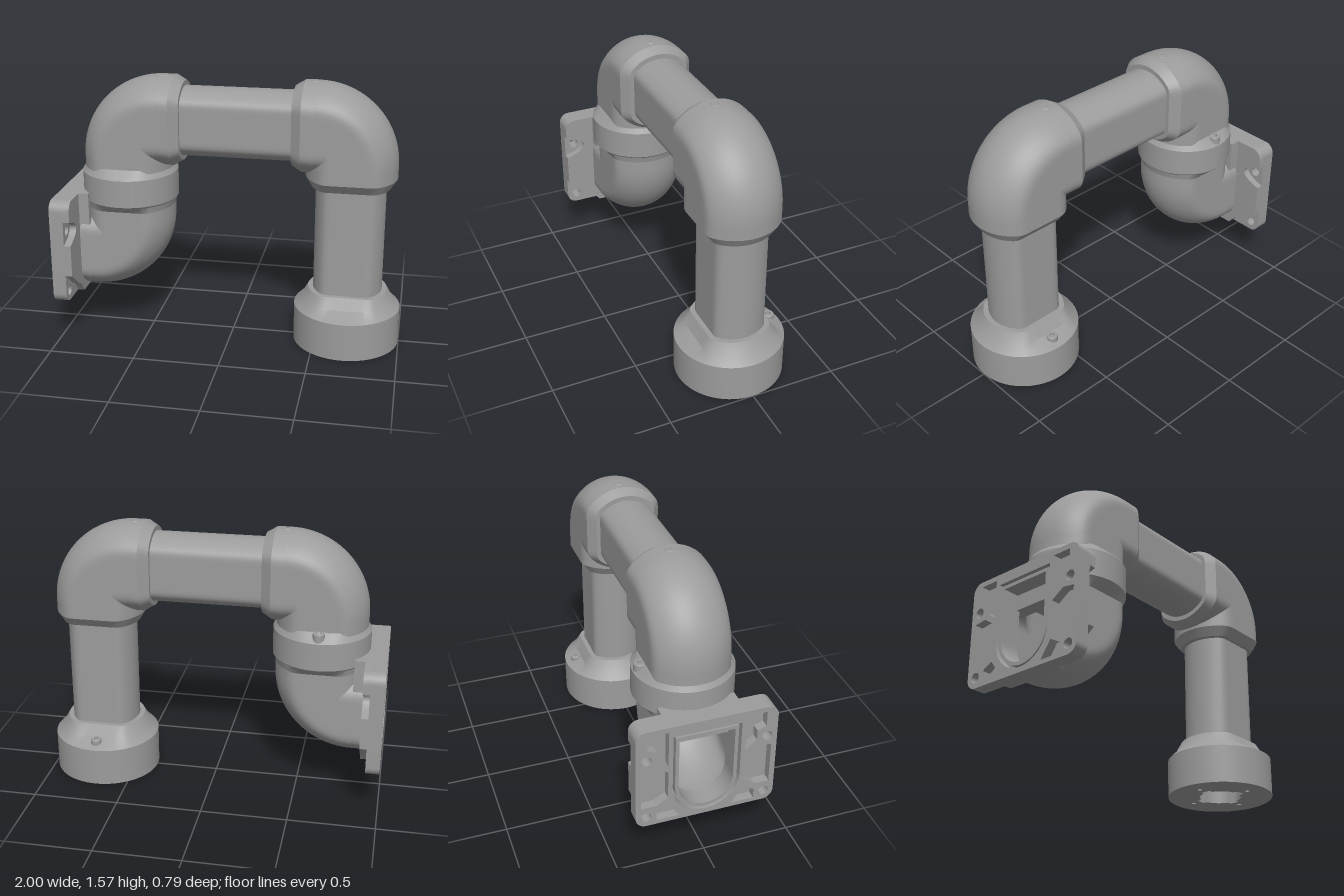
import * as THREE from 'three';
import { toCreasedNormals } from 'three/addons/utils/BufferGeometryUtils.js';

const AXIS = 0.2025; // distance from bend centre to pipe axis
const SEG = 72;

// Scaled up while creasing so that fine detail is not merged
function crease(geo, angle = 0.45) {
  geo.scale(100, 100, 100);
  const out = toCreasedNormals(geo, angle);
  return out.scale(0.01, 0.01, 0.01);
}

// Circle of radius R with both sides planed flat at +-cut and slightly softened edges
function section(R, cut = 9) {
  const k = 0.02, pts = [];
  for (let i = 0; i < SEG; i++) {
    const a = (i / SEG) * Math.PI * 2;
    const s = R * Math.abs(Math.sin(a));
    const h = Math.max(k - Math.abs(s - cut), 0) / k;
    const v = Math.min(s, cut) - h * h * k * 0.25;
    pts.push([R * Math.cos(a), v * Math.sign(Math.sin(a))]);
  }
  return pts;
}

// Skin over a list of closed rings of Vector3, with optional end caps
function skin(rings, capStart, capEnd) {
  const pos = [], idx = [];
  rings.forEach((r) => r.forEach((p) => pos.push(p.x, p.y, p.z)));
  for (let i = 0; i < rings.length - 1; i++) {
    for (let j = 0; j < SEG; j++) {
      const a = i * SEG + j, b = i * SEG + ((j + 1) % SEG);
      idx.push(a, a + SEG, b, b, a + SEG, b + SEG);
    }
  }
  const cap = (row, flip) => {
    const c = rings[row].reduce((s, p) => s.add(p), new THREE.Vector3()).divideScalar(SEG);
    const ci = pos.length / 3;
    pos.push(c.x, c.y, c.z);
    for (let j = 0; j < SEG; j++) {
      const a = row * SEG + j, b = row * SEG + ((j + 1) % SEG);
      if (flip) idx.push(ci, a, b); else idx.push(ci, b, a);
    }
  };
  if (capStart) cap(0, true);
  if (capEnd) cap(rings.length - 1, false);
  const g = new THREE.BufferGeometry();
  g.setAttribute('position', new THREE.Float32BufferAttribute(pos, 3));
  g.setIndex(idx);
  return crease(g);
}

// Straight loft along y; each row is [y, R, cut]
function loft(rows, capStart = true, capEnd = true) {
  const rings = rows.map(([y, R, cut]) => section(R, cut).map(([u, v]) => new THREE.Vector3(u, y, v)));
  return skin(rings, capStart, capEnd);
}

// Quarter bend about the origin, square-mitred close to the inner corner
function bend() {
  const rings = [], steps = 28;
  for (let i = 0; i <= steps; i++) {
    const t = (i / steps) * Math.PI / 2, c = Math.cos(t), s = Math.sin(t);
    rings.push(section(0.263, 0.22).map(([u, v]) => {
      let r = Math.max(AXIS + u, 0);
      if (r < 0.1) r /= Math.max(c, s);
      return new THREE.Vector3(r * c, r * s, v);
    }));
  }
  return skin(rings, false, false);
}

// Extrudes a yz outline (shape x = world z) backwards from x = front
function plateSheet(shape, front, depth) {
  const g = new THREE.ExtrudeGeometry(shape, { depth, bevelEnabled: false, curveSegments: 16 });
  return crease(g.rotateY(-Math.PI / 2).translate(front, 0, 0));
}

function plateOutline() {
  const w = 0.395, b = 0.265, t = 0.89, r = 0.06, s = new THREE.Shape();
  s.absarc(w - r, b + r, r, -Math.PI / 2, 0);
  s.absarc(w - r, t - r, r, 0, Math.PI / 2);
  s.absarc(-w + r, t - r, r, Math.PI / 2, Math.PI);
  s.absarc(-w + r, b + r, r, Math.PI, Math.PI * 1.5);
  s.closePath();
  return s;
}

// Flat-topped, round-bottomed duct outline
function duct(w, top, Type = THREE.Path) {
  const p = new Type();
  p.moveTo(w, top);
  p.lineTo(-w, top);
  p.absarc(0, 0.485, w, Math.PI, Math.PI * 2);
  p.closePath();
  return p;
}

function circle(x, y, r) {
  return new THREE.Path().absarc(x, y, r, 0, Math.PI * 2);
}

const polygon = (pts) => new THREE.Path(pts.map(([x, y]) => new THREE.Vector2(x, y)));

export function createModel() {
  const model = new THREE.Group();
  const grey = new THREE.MeshStandardMaterial({ color: 0x9c9c9c, side: THREE.DoubleSide });
  grey.name = 'grey metal';

  const add = (parent, name, geo, x = 0, y = 0, z = 0) => {
    const m = new THREE.Mesh(geo, grey);
    m.name = name;
    m.position.set(x, y, z);
    parent.add(m);
    return m;
  };

  // Socket screw standing on y = 0
  const screw = (r, h) => crease(new THREE.LatheGeometry([
    [0, h - 0.015], [r * 0.45, h - 0.015], [r * 0.45, h], [r * 0.9, h], [r, h - 0.004], [r, 0],
  ].map(([a, b]) => new THREE.Vector2(a, b)).reverse(), 24));

  // Elbow: one leg goes down at +x, the other goes towards -x
  const elbow = (name, x, y, downRows, sideRows, caps) => {
    const g = new THREE.Group();
    g.name = name;
    g.position.set(x, y, 0);
    add(g, 'bend', bend());
    add(g, 'verticalCollar', loft(downRows, caps, false), AXIS, 0, 0);
    add(g, 'horizontalCollar', loft(sideRows, caps, false).rotateZ(-Math.PI / 2), 0, AXIS, 0);
    model.add(g);
    return g;
  };
  const collar = [[-0.13, 0.23, 0.177], [-0.075, 0.263, 0.22], [0, 0.263, 0.22]];

  // Upper elbows with a set screw on top
  const rightElbow = elbow('outerElbow', 0.4825, 1.1, collar, collar, true);
  const leftElbow = elbow('innerElbow', -0.415, 1.1, collar, collar, true);
  leftElbow.rotation.y = Math.PI;
  for (const e of [rightElbow, leftElbow]) add(e, 'setScrew', screw(0.029, 0.03), -0.015, 0.438, 0);

  // Lower elbow, open towards the wall plate
  const lower = elbow('wallElbow', -0.82, 0.73,
    [[-0.14, 0.263, 0.22], [0, 0.263, 0.22]], [[-0.065, 0.263, 0.22], [0, 0.263, 0.22]], false);
  lower.rotation.x = Math.PI;

  // Pipes
  add(model, 'horizontalPipe', loft([[-0.33, AXIS, 0.155], [0.33, AXIS, 0.155]]).rotateZ(-Math.PI / 2), 0.033, 1.3025, 0);
  add(model, 'verticalPipe', loft([[0.3, AXIS, 0.155], [1.0, AXIS, 0.155]]), 0.685, 0, 0);

  // Swivel ring between the two left elbows
  add(model, 'swivelRing', loft([
    [0.79, 0.262, 0.222], [0.83, 0.272], [0.84, 0.281], [1.0, 0.281], [1.02, 0.268, 0.26], [1.05, 0.25, 0.228],
  ]), -0.6175, 0, 0);
  add(model, 'ringScrew', screw(0.034, 0.07), -0.6175, 0.982, -0.242);

  // Round foot with a lobed opening and bolt holes underneath
  const foot = new THREE.Shape();
  foot.absarc(0, 0, 0.313, 0, Math.PI * 2);
  const lobes = [];
  for (let i = 0; i < 96; i++) {
    const a = (i / 96) * Math.PI * 2;
    const r = Math.cos(4 * a) > 0.6 ? 0.15 : 0.125;
    lobes.push([r * Math.cos(a), r * Math.sin(a)]);
  }
  foot.holes.push(polygon(lobes));
  for (let i = 0; i < 4; i++) {
    const a = i * Math.PI / 2;
    foot.holes.push(circle(0.2 * Math.cos(a), 0.2 * Math.sin(a), 0.014));
  }
  const footGeo = new THREE.ExtrudeGeometry(foot, { depth: 0.2, bevelEnabled: false, curveSegments: 36 });
  add(model, 'foot', crease(footGeo.rotateX(-Math.PI / 2)), 0.685, 0, 0);
  add(model, 'footShoulder', loft([
    [0.2, 0.313], [0.225, 0.313], [0.27, 0.268, 0.22], [0.335, 0.232, 0.182],
  ]), 0.685, 0, 0);
  add(model, 'footScrew', screw(0.032, 0.07), 0.685, 0.205, -0.25);

  // Wall plate: front sheet cut back around the bolt pads
  const plate = new THREE.Group();
  plate.name = 'wallPlate';
  model.add(plate);
  const half = [[0.19, 0.265], [0.235, 0.325], [0.28, 0.35], [0.395, 0.44], [0.395, 0.627], [0.33, 0.65]]
    .map(([x, y]) => new THREE.Vector2(x, y));
  half.push(...new THREE.QuadraticBezierCurve(
    new THREE.Vector2(0.33, 0.65), new THREE.Vector2(0.23, 0.7), new THREE.Vector2(0.33, 0.752)).getPoints(10).slice(1));
  half.push(new THREE.Vector2(0.395, 0.772));
  for (let i = 0; i <= 8; i++) {
    const a = (i / 8) * Math.PI / 2;
    half.push(new THREE.Vector2(0.335 + 0.06 * Math.cos(a), 0.83 + 0.06 * Math.sin(a)));
  }
  const mirrored = half.map((p) => new THREE.Vector2(-p.x, p.y)).reverse();
  const front = new THREE.Shape([...half, ...mirrored]);
  front.holes.push(duct(0.155, 0.79));
  add(plate, 'frontSheet', plateSheet(front, -0.88, 0.04));

  // Middle sheet with bolt holes, back sheet with weight-saving pockets
  const middle = plateOutline(), back = plateOutline();
  middle.holes.push(duct(0.155, 0.79));
  back.holes.push(duct(0.19, 0.825));
  for (const s of [-1, 1]) {
    for (const y of [0.325, 0.703]) {
      middle.holes.push(circle(s * 0.337, y, 0.029));
      back.holes.push(circle(s * 0.337, y, 0.029));
    }
    back.holes.push(polygon([[0.215, 0.43], [0.28, 0.39], [0.365, 0.39], [0.365, 0.64], [0.29, 0.65], [0.215, 0.6]].map(([x, y]) => [s * x, y])));
    back.holes.push(polygon([[0.215, 0.64], [0.28, 0.69], [0.28, 0.75], [0.33, 0.77], [0.33, 0.86], [0.215, 0.86]].map(([x, y]) => [s * x, y])));
    back.holes.push(polygon([[0.15, 0.29], [0.28, 0.29], [0.28, 0.35], [0.215, 0.385]].map(([x, y]) => [s * x, y])));
  }
  add(plate, 'middleSheet', plateSheet(middle, -0.92, 0.03));
  add(plate, 'backSheet', plateSheet(back, -0.95, 0.05));

  // Raised lip around the duct and the block behind the ring
  const lip = duct(0.175, 0.81, THREE.Shape);
  lip.holes.push(duct(0.155, 0.79));
  add(plate, 'ductLip', plateSheet(lip, -0.95, 0.045));
  add(plate, 'neckBlock', new THREE.BoxGeometry(0.08, 0.19, 0.43), -0.86, 0.795, 0);

  return model;
}
